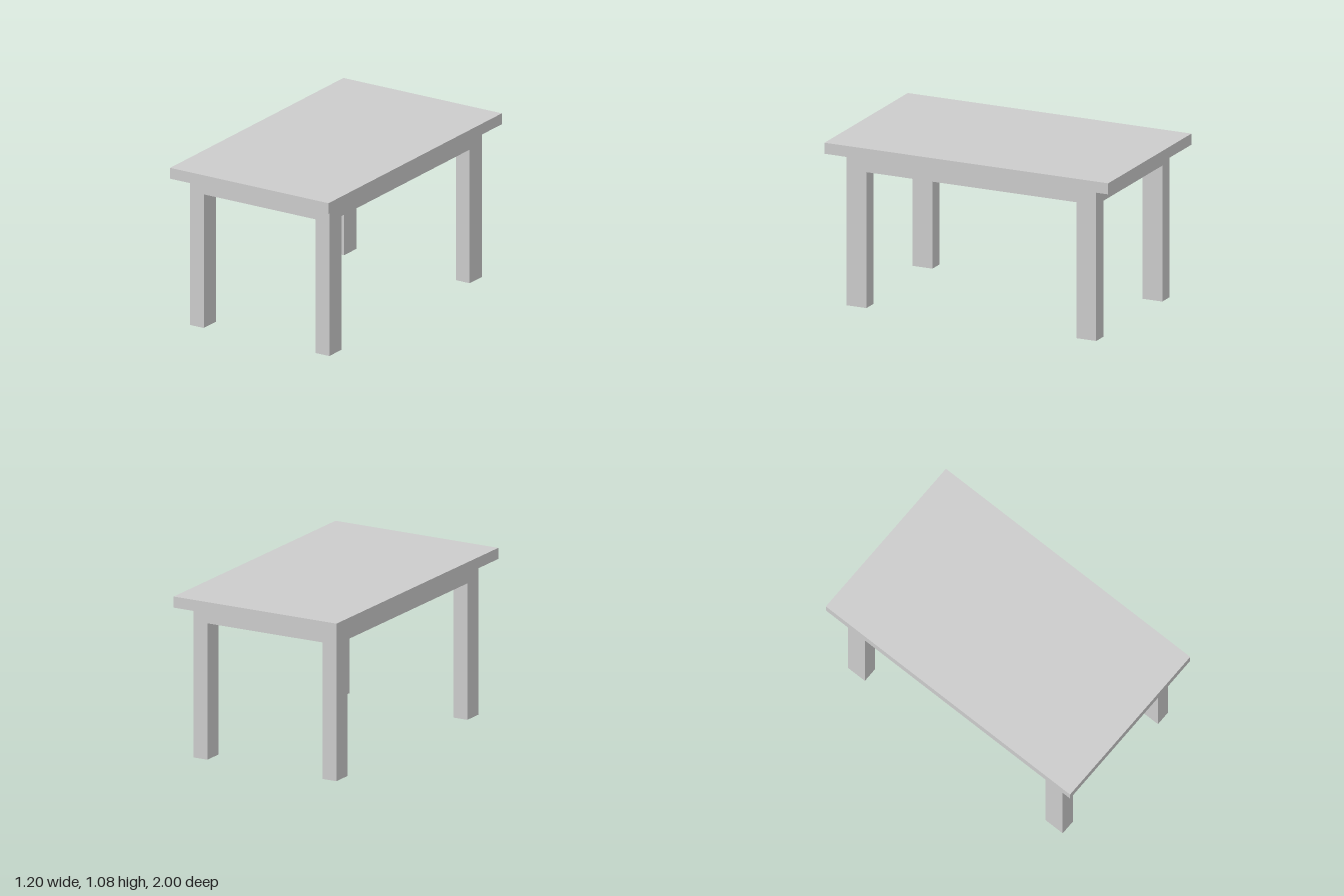
import * as THREE from 'three';

const material = new THREE.MeshStandardMaterial({ color: 0xcccccc });
const openMaterial = new THREE.MeshStandardMaterial({ color: 0xcccccc, side: THREE.DoubleSide });

const TOP = 1.08, UNDER = 1.007, APRON = 0.9; // heights of top, its underside, apron's lower edge
const OUT_X = 0.527, OUT_Z = 0.88;            // outer corner of the frame
const LEG_X = 0.103, LEG_Z = 0.14;            // leg section

function addBox(group, name, [w, h, d], [x, y, z]) {
  const mesh = new THREE.Mesh(new THREE.BoxGeometry(w, h, d), material);
  mesh.position.set(x, y, z);
  mesh.name = name;
  group.add(mesh);
  return mesh;
}

// Remove the lid and base of a box (faces 2 and 3) to leave a square tube
function openEnds(mesh) {
  const index = Array.from(mesh.geometry.index.array);
  index.splice(12, 12);
  mesh.geometry.setIndex(index);
  mesh.geometry.clearGroups();
  mesh.material = openMaterial;
}

export function createModel() {
  const table = new THREE.Group();
  table.name = 'table';

  // Slab
  addBox(table, 'tableTop', [1.2, TOP - UNDER, 2], [0, (TOP + UNDER) / 2, 0]);

  const legX = OUT_X - LEG_X / 2, legZ = OUT_Z - LEG_Z / 2;
  const railH = UNDER - APRON, railY = (UNDER + APRON) / 2;

  for (const s of [1, -1]) {
    const side = s > 0 ? 'left' : 'right';
    const end = s > 0 ? 'front' : 'back';

    // Apron rails, as thick as the legs
    addBox(table, side + 'Rail', [LEG_X, railH, 2 * (OUT_Z - LEG_Z)], [s * legX, railY, 0]);
    addBox(table, end + 'Rail', [2 * (OUT_X - LEG_X), railH, LEG_Z], [0, railY, s * legZ]);

    // Hollow legs, open at the foot
    for (const t of [1, -1]) {
      const name = (t > 0 ? 'front' : 'back') + (s > 0 ? 'Left' : 'Right') + 'Leg';
      openEnds(addBox(table, name, [LEG_X, UNDER, LEG_Z], [s * legX, UNDER / 2, t * legZ]));
    }
  }
  return table;
}
